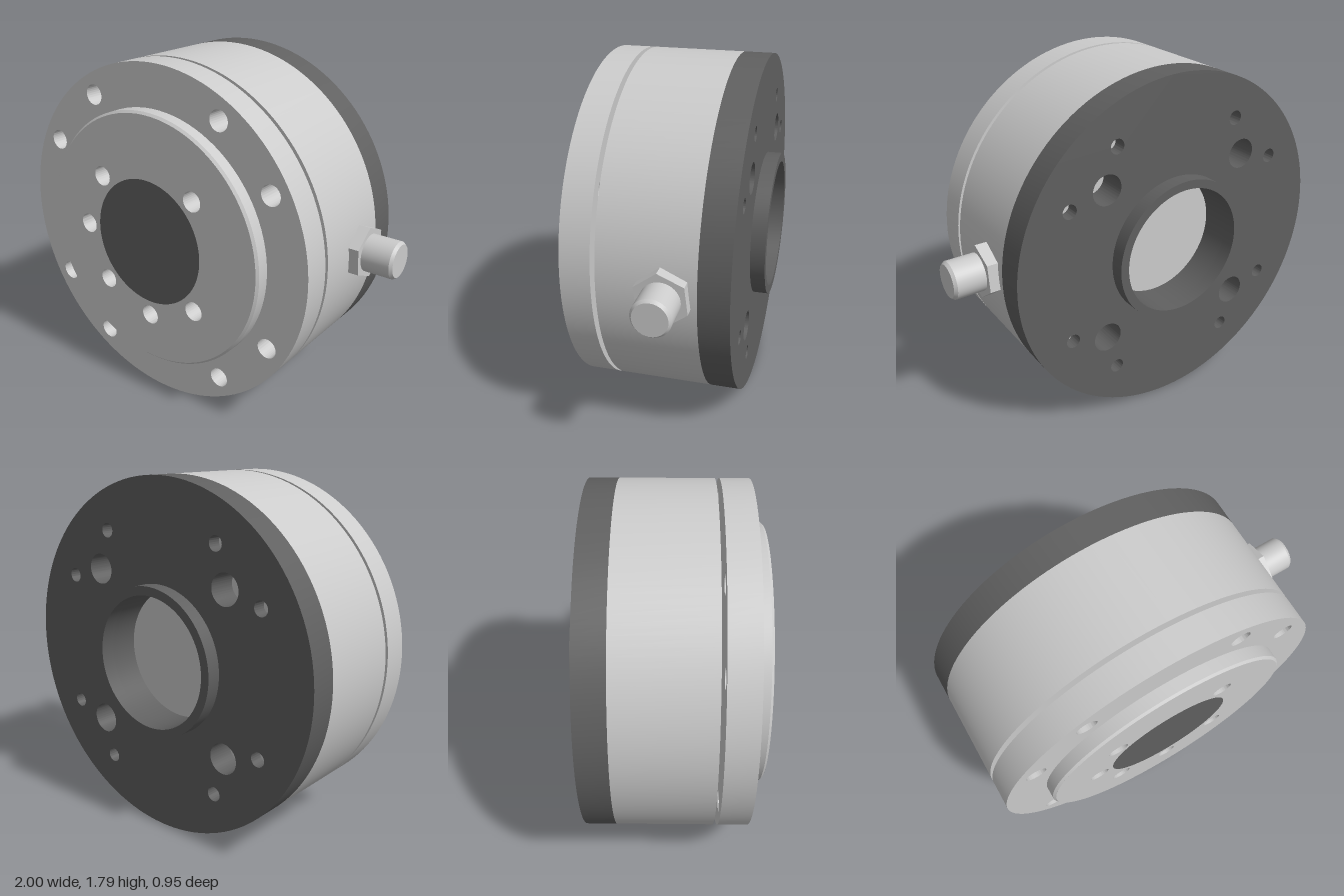
import * as THREE from 'three';
import { toCreasedNormals } from 'three/addons/utils/BufferGeometryUtils.js';

const grey = new THREE.MeshStandardMaterial({ color: 0xcccccc });
const dark = new THREE.MeshStandardMaterial({ color: 0x606060 });
const R = 0.895; // main radius

function add(parent, name, geometry, material = grey) {
  const mesh = new THREE.Mesh(geometry, material);
  mesh.name = name;
  parent.add(mesh);
  return mesh;
}

// Hole centres on a bolt circle
function boltCircle(radius, size, degrees) {
  return degrees.map((d) => {
    const a = THREE.MathUtils.degToRad(d);
    return { x: radius * Math.cos(a), y: radius * Math.sin(a), r: size };
  });
}

// Round plate along z with holes cut through it
function plate(radius, z0, z1, holes = []) {
  const shape = new THREE.Shape().absarc(0, 0, radius, 0, Math.PI * 2);
  for (const h of holes) {
    shape.holes.push(new THREE.Path().absarc(h.x, h.y, h.r, 0, Math.PI * 2, true));
  }
  const g = new THREE.ExtrudeGeometry(shape, { depth: z1 - z0, bevelEnabled: false, curveSegments: 64 });
  g.translate(0, 0, z0);
  return toCreasedNormals(g, 0.6);
}

// Profile of [radius, height] pairs turned about y
function lathe(points, segments = 96) {
  const g = new THREE.LatheGeometry(points.map(([r, y]) => new THREE.Vector2(r, y)), segments);
  return toCreasedNormals(g, 0.6);
}

export function createModel() {
  const model = new THREE.Group();
  model.name = 'flangedSensor';
  const drum = new THREE.Group();
  drum.name = 'drum';
  drum.position.set(-0.105, R, 0);
  model.add(drum);

  const eight = [30, 60, 120, 150, 210, 240, 300, 330];
  const flangeHoles = boltCircle(0.79, 0.052, eight);
  const bossHoles = boltCircle(0.415, 0.052, [45, 135, 180, 225, 270, 315]);
  const screwHoles = boltCircle(0.705, 0.037, eight);
  const mountHoles = boltCircle(0.578, 0.078, [45, 135, 225, 315]);

  // Front flange and raised boss with a chamfered rim
  add(drum, 'frontFlange', plate(R, 0.25, 0.4, [...flangeHoles, ...bossHoles]));
  add(drum, 'frontBoss', plate(0.663, 0.4, 0.475, [...bossHoles, { x: 0, y: 0, r: 0.335 }]));
  const rim = lathe([[0.675, 0.4], [0.675, 0.463], [0.663, 0.475]]);
  rim.rotateX(Math.PI / 2);
  add(drum, 'bossRim', rim);
  add(drum, 'centrePlug', plate(0.335, 0.4, 0.475), dark);

  // Neck across the gap, then the main body
  add(drum, 'neck', plate(0.3, 0.22, 0.255));
  add(drum, 'body', plate(R, -0.25, 0.227));

  // Dark back plate with its open centring ring
  const bore = { x: 0, y: 0, r: 0.335 };
  add(drum, 'backPlate', plate(R, -0.4, -0.25, [bore, ...screwHoles, ...mountHoles]), dark);
  add(drum, 'centringRing', plate(0.38, -0.475, -0.4, [bore]), dark);
  for (const h of screwHoles) {
    const head = add(drum, 'screwEnd', new THREE.CircleGeometry(h.r, 24));
    head.rotation.y = Math.PI;
    head.position.set(h.x, h.y, -0.33);
  }

  // Side connector: hexagonal nut and round plug pointing along +x
  const connector = new THREE.Group();
  connector.name = 'connector';
  connector.position.set(0, R + 0.005, -0.095);
  connector.rotation.z = -Math.PI / 2;
  model.add(connector);
  const hex = new THREE.CylinderGeometry(0.137, 0.137, 0.06, 6).toNonIndexed();
  hex.computeVertexNormals();
  const nut = add(connector, 'hexNut', hex);
  nut.position.y = 0.81;
  nut.rotation.y = -Math.PI / 2 + THREE.MathUtils.degToRad(6.5);
  add(connector, 'connectorPlug', lathe([[0.095, 0.75], [0.095, 0.985], [0.083, 1], [0, 1]], 48));

  return model;
}
